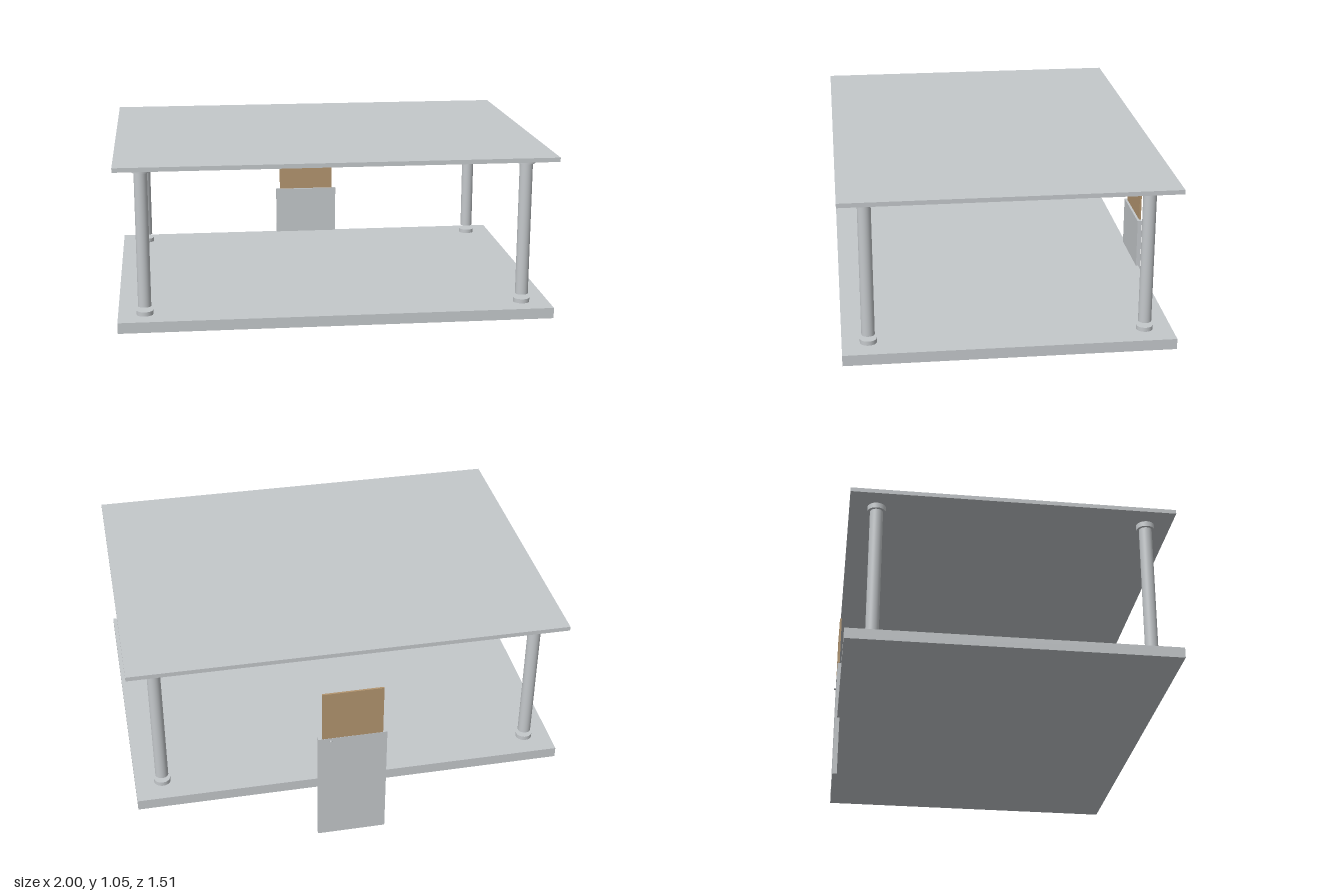
import * as THREE from 'three';

export function createModel() {
  const model = new THREE.Group();
  const grey = new THREE.MeshStandardMaterial({ color: 0xc4c8cb });
  grey.name = 'light grey';
  const tan = new THREE.MeshStandardMaterial({ color: 0xb3956f });
  tan.name = 'tan board';

  // Box given by its limits on each axis
  const box = (name, material, [x0, x1], [y0, y1], [z0, z1]) => {
    const mesh = new THREE.Mesh(new THREE.BoxGeometry(x1 - x0, y1 - y0, z1 - z0), material);
    mesh.position.set((x0 + x1) / 2, (y0 + y1) / 2, (z0 + z1) / 2);
    mesh.name = name;
    model.add(mesh);
  };

  // Upright cylinder between two heights
  const disc = (name, parent, radius, y0, y1) => {
    const mesh = new THREE.Mesh(new THREE.CylinderGeometry(radius, radius, y1 - y0, 32), grey);
    mesh.position.y = (y0 + y1) / 2;
    mesh.name = name;
    parent.add(mesh);
  };

  // Thick lower shelf and thin upper shelf
  box('lowerShelf', grey, [-1, 1], [0.29, 0.34], [-0.738, 0.757]);
  box('upperShelf', grey, [-1, 1], [1.03, 1.05], [-0.738, 0.757]);

  // Corner posts: foot ring, a small gap, column and top collar
  for (const x of [-0.878, 0.874]) {
    for (const z of [-0.614, 0.638]) {
      const post = new THREE.Group();
      post.name = 'cornerPost';
      post.position.set(x, 0, z);
      disc('foot', post, 0.038, 0.34, 0.36);
      disc('column', post, 0.03, 0.38, 1.005);
      disc('collar', post, 0.042, 1.005, 1.03);
      model.add(post);
    }
  }

  // Back sleeve with a sliding board held by a small pin
  box('backSleeve', grey, [-0.165, 0.16], [0, 0.58], [-0.748, -0.727]);
  box('slidingBoard', tan, [-0.145, 0.14], [0.55, 0.835], [-0.747, -0.738]);
  const pin = new THREE.Mesh(new THREE.CylinderGeometry(0.006, 0.006, 0.012, 16), grey);
  pin.name = 'lockingPin';
  pin.rotation.x = Math.PI / 2;
  pin.position.set(0.1, 0.563, -0.751);
  model.add(pin);

  return model;
}
